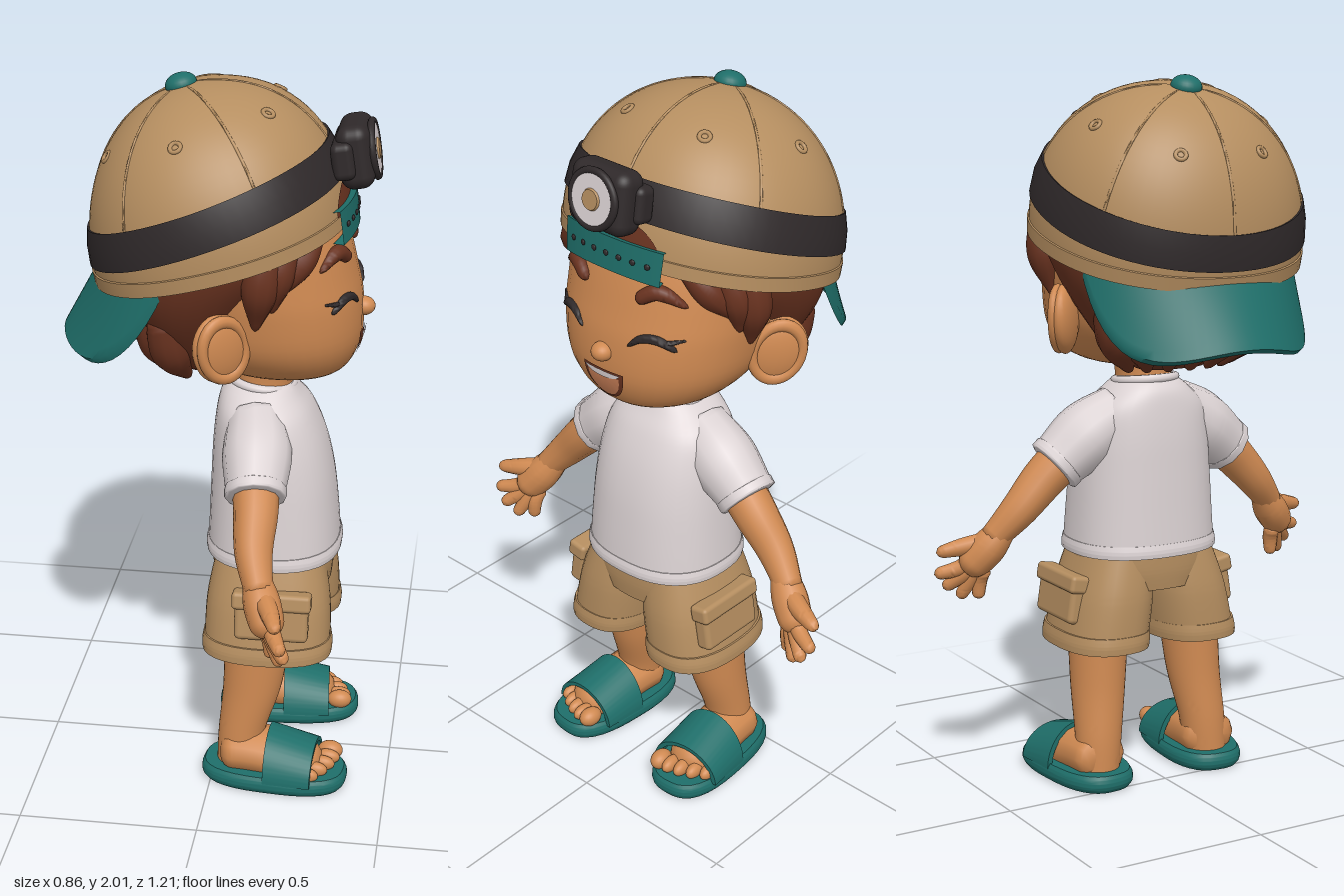
import * as THREE from 'three';
import { toCreasedNormals } from 'three/addons/utils/BufferGeometryUtils.js';
import { RoundedBoxGeometry } from 'three/addons/geometries/RoundedBoxGeometry.js';

const V = (x, y, z) => new THREE.Vector3(x, y, z);
const paint = (name, color) => new THREE.MeshStandardMaterial({ name, color });

// Smooth value between rows of numbers, t from 0 to 1
function blend(rows, t) {
  const f = Math.min(Math.max(t, 0), 1) * (rows.length - 1), i = Math.min(Math.floor(f), rows.length - 2), u = f - i;
  const p0 = rows[Math.max(i - 1, 0)], p1 = rows[i], p2 = rows[i + 1], p3 = rows[Math.min(i + 2, rows.length - 1)];
  return p1.map((b, k) => {
    const a = p0[k], c = p2[k], d = p3[k];
    return b + 0.5 * u * (c - a + u * (2 * a - 5 * b + 4 * c - d + u * (3 * (b - c) + d - a)));
  });
}

// Move every vertex by a rule, then rebuild normals
function warp(geo, rule, crease = 0.9) {
  const p = geo.attributes.position, v = V(0, 0, 0);
  for (let i = 0; i < p.count; i++) {
    const w = rule(v.fromBufferAttribute(p, i), i);
    p.setXYZ(i, w.x, w.y, w.z);
  }
  return toCreasedNormals(geo, crease);
}

// Upright body from rows of [y, centreX, centreZ, radiusX, radiusZ]
function loft(rows, p = 2.2) {
  return warp(new THREE.CylinderGeometry(1, 1, 1, 40, 28), (v) => {
    const [y, cx, cz, rx, rz] = blend(rows, v.y + 0.5);
    const r = Math.hypot(v.x, v.z);
    const k = r < 1e-6 ? 0 : (Math.abs(v.x) ** p + Math.abs(v.z) ** p) ** (-1 / p);
    return V(cx + v.x * k * rx, y, cz + v.z * k * rz);
  });
}

// Round limb along a path with changing radius and rounded ends
function sweep(pts, radii, cap = 0.1) {
  const n = 24, sides = 12, curve = new THREE.CatmullRomCurve3(pts.map((q) => V(...q)));
  const rows = radii.map((r) => [r]);
  return warp(new THREE.TubeGeometry(curve, n, 1, sides), (v, i) => {
    const t = Math.floor(i / (sides + 1)) / n, c = curve.getPointAt(t);
    const e = Math.min(t, 1 - t) / cap;
    const round = e < 1 ? Math.sqrt(Math.max(0, 1 - (1 - e) ** 2)) : 1;
    return c.clone().add(v.clone().sub(c).multiplyScalar(Math.max(blend(rows, t)[0] * round, 0.0005)));
  }, 1.4);
}

// Crown surface of the cap in a given direction
const crown = V(0, 1.59, -0.003);
function dome(d, s = 1) {
  const p = 2.15;
  const k = (Math.abs(d.x / 0.375) ** p + Math.abs(d.y / 0.4) ** p + Math.abs(d.z / 0.35) ** p) ** (-1 / p);
  return V(d.x, d.y, d.z).multiplyScalar(k * s).add(crown);
}
const X = V(1, 0, 0);
const polar = (theta, phi, tilt = -0.27) =>
  V(Math.sin(theta) * Math.sin(phi), Math.cos(theta), Math.sin(theta) * Math.cos(phi)).applyAxisAngle(X, tilt);
// Ring on the crown, profile rows of [theta, scale] from bottom to top
function domeRing(profile, tilt, start = 0, length = Math.PI * 2) {
  const pts = profile.map(([t, s]) => new THREE.Vector2(Math.max(Math.sin(t), 1e-4) * s, Math.cos(t) * s));
  return warp(new THREE.LatheGeometry(pts, 64, start, length), (v) => dome(v.clone().normalize().applyAxisAngle(X, tilt), v.length()));
}

const headRows = [
  [1.2, 0, 0.19, 0.08, 0.1], [1.214, 0, 0.175, 0.145, 0.155], [1.25, 0, 0.16, 0.21, 0.203],
  [1.32, 0, 0.135, 0.262, 0.25], [1.42, 0, 0.11, 0.285, 0.272], [1.5, 0, 0.08, 0.295, 0.285],
  [1.6, 0, 0.04, 0.3, 0.3], [1.72, 0, 0.02, 0.28, 0.28],
];
// Depth of the face at a point seen from the front
function faceZ(x, y) {
  let a = 0, b = 1;
  for (let i = 0; i < 24; i++) { const m = (a + b) / 2; if (blend(headRows, m)[0] < y) a = m; else b = m; }
  const [, , cz, rx, rz] = blend(headRows, a);
  return cz + rz * Math.max(0, 1 - Math.abs(x / rx) ** 2.2) ** (1 / 2.2);
}
const onFace = (x, y, lift = 0.002) => [x, y, faceZ(x, y) + lift];
const halfDisc = (start) => new THREE.RingGeometry(0.001, 1, 24, 4, start, Math.PI);

export function createModel() {
  const skin = paint('skin', 0xd08a52), hair = paint('hair', 0x6a3320), khaki = paint('khaki', 0xb58e60);
  const teal = paint('teal', 0x1f6f6a), white = paint('white', 0xdcd3d4), black = paint('black', 0x2f292a);
  const tongue = paint('tongue', 0xcb8058);
  teal.side = THREE.DoubleSide;

  const root = new THREE.Group(), body = new THREE.Group();
  root.name = 'child';
  body.name = 'figure';
  body.rotation.y = Math.PI / 2;
  root.add(body);
  const add = (name, geo, mat, pos = [0, 0, 0], rot = [0, 0, 0], scale = [1, 1, 1], parent = body) => {
    const m = new THREE.Mesh(geo, mat);
    m.name = name;
    m.position.set(...pos); m.rotation.set(...rot); m.scale.set(...scale);
    parent.add(m);
    return m;
  };
  const ball = new THREE.SphereGeometry(1, 24, 16);

  // Head and face
  add('head', loft(headRows, 2.2), skin);
  add('neck', loft([[1.08, 0, 0.11, 0.09, 0.085], [1.16, 0, 0.12, 0.078, 0.078], [1.26, 0, 0.13, 0.085, 0.085]]), skin);
  add('nose', ball, skin, [0, 1.385, 0.385], [0, 0, 0], [0.03, 0.026, 0.032]);
  const faceDisc = (w, h, y0, lift) => warp(halfDisc(Math.PI), (v) => V(...onFace(v.x * w, y0 + v.y * h, lift)));
  add('mouth', faceDisc(0.07, 0.092, 1.335, 0.003), hair);
  add('tongue', faceDisc(0.056, 0.07, 1.32, 0.005), tongue);
  add('teeth', faceDisc(0.06, 0.018, 1.332, 0.007), white);

  // Hair under the cap
  add('hairBack', loft([
    [1.21, 0, -0.03, 0.1, 0.05], [1.25, 0, -0.04, 0.18, 0.09], [1.35, 0, -0.06, 0.265, 0.15],
    [1.45, 0, -0.05, 0.322, 0.215], [1.55, 0, -0.02, 0.35, 0.275], [1.65, 0, 0, 0.352, 0.3],
  ], 2.2), hair);
  for (let i = -3; i <= 3; i++) {
    const a = i * 0.36, sx = Math.sin(a), cz = -Math.cos(a);
    add('napeLock', sweep([[sx * 0.27, 1.42, -0.04 + cz * 0.17], [sx * 0.24, 1.31, -0.04 + cz * 0.14], [sx * 0.17, 1.21, -0.02 + cz * 0.1]], [0.05, 0.055, 0.012]), hair);
  }

  for (const s of [1, -1]) {
    const side = s > 0 ? 'left' : 'right';
    const mir = (pts) => pts.map(([x, y, z]) => [x * s, y, z]);
    const part = (name, pts, radii, mat, cap) => add(side + name, sweep(mir(pts), radii, cap), mat);

    // Side locks, brows and closed eyes
    part('TempleLock', [[0.28, 1.63, 0.15], [0.297, 1.53, 0.14], [0.278, 1.4, 0.125]], [0.05, 0.05, 0.01], hair);
    part('MiddleLock', [[0.25, 1.64, 0.2], [0.28, 1.55, 0.18], [0.275, 1.45, 0.165]], [0.04, 0.045, 0.012], hair);
    part('FringeLock', [[0.17, 1.66, 0.28], [0.23, 1.59, 0.24], [0.28, 1.5, 0.17]], [0.02, 0.042, 0.02], hair);
    part('Brow', [onFace(0.085, 1.548), onFace(0.14, 1.578), onFace(0.21, 1.545)], [0.018, 0.021, 0.008], hair, 0.15);
    part('Eye', [onFace(0.08, 1.425), onFace(0.115, 1.452), onFace(0.155, 1.455), onFace(0.2, 1.428)], [0.005, 0.011, 0.012, 0.007], black);
    part('Lash', [onFace(0.175, 1.448), onFace(0.215, 1.458)], [0.008, 0.003], black);

    // Ear, cupped outward and forward
    const ear = new THREE.Group();
    ear.name = side + 'Ear';
    ear.position.set(s * 0.298, 1.355, 0.04);
    ear.rotation.set(0, s * 0.85, s * -0.3);
    body.add(ear);
    add(side + 'EarBowl', ball, skin, [0, 0, -0.005], [0, 0, 0], [0.083, 0.098, 0.035], ear);
    add(side + 'EarRim', new THREE.TorusGeometry(0.068, 0.015, 10, 32), skin, [0, 0, 0.012], [0, 0, 0], [0.95, 1.18, 1], ear);

    // Sleeve, arm and hand
    part('Sleeve', [[0.08, 1.075, 0.105], [0.17, 1.02, 0.12], [0.285, 0.93, 0.13]], [0.08, 0.095, 0.08], white, 0.03);
    part('SleeveHem', [[0.262, 0.949, 0.128], [0.288, 0.927, 0.131]], [0.085, 0.084], white, 0.15);
    part('Arm', [[0.2, 1.0, 0.12], [0.31, 0.9, 0.135], [0.39, 0.815, 0.14], [0.47, 0.725, 0.168]], [0.062, 0.062, 0.052, 0.038], skin, 0.03);
    part('Palm', [[0.41, 0.79, 0.145], [0.475, 0.705, 0.175], [0.53, 0.64, 0.205]], [0.03, 0.05, 0.044], skin, 0.2);
    const tips = [[0.605, 0.635, 0.24], [0.575, 0.59, 0.248], [0.535, 0.56, 0.232], [0.49, 0.56, 0.2]];
    tips.forEach((t, i) => part('Finger', [[0.5 - i * 0.006, 0.69 - i * 0.012, 0.19 - i * 0.005], [0.535 - i * 0.016, 0.655 - i * 0.012, 0.21 - i * 0.005], t], [0.024, 0.022, 0.017], skin, 0.15));
    part('Thumb', [[0.46, 0.73, 0.17], [0.53, 0.715, 0.2], [0.605, 0.7, 0.225]], [0.028, 0.026, 0.017], skin, 0.15);

    // Shorts leg with hem and cargo pocket
    add(side + 'ShortsLeg', loft([[0.405, s * 0.145, 0.15, 0.125, 0.178], [0.55, s * 0.12, 0.15, 0.12, 0.173], [0.677, s * 0.096, 0.15, 0.1, 0.15]], 2.5), khaki);
    add(side + 'ShortsHem', loft([[0.402, s * 0.145, 0.15, 0.129, 0.183], [0.425, s * 0.143, 0.15, 0.13, 0.184], [0.45, s * 0.14, 0.15, 0.127, 0.18]], 2.5), khaki);
    add(side + 'Pocket', new RoundedBoxGeometry(0.05, 0.125, 0.205, 3, 0.015), khaki, [s * 0.24, 0.54, 0.172], [0, 0, s * 0.15]);
    add(side + 'PocketFlap', new RoundedBoxGeometry(0.06, 0.05, 0.22, 3, 0.012), khaki, [s * 0.236, 0.592, 0.172], [0, 0, s * 0.18]);

    // Leg, foot and sandal
    add(side + 'Leg', loft([[0.05, s * 0.18, 0.08, 0.063, 0.067], [0.14, s * 0.174, 0.083, 0.067, 0.067], [0.28, s * 0.16, 0.11, 0.077, 0.083], [0.45, s * 0.15, 0.125, 0.085, 0.095]], 2), skin);
    const foot = new THREE.Group();
    foot.name = side + 'Foot';
    foot.position.set(s * 0.192, 0, 0.18);
    foot.rotation.y = s * 0.08;
    body.add(foot);
    const put = (name, geo, mat, pos, scale) => add(side + name, geo, mat, pos, [0, 0, 0], scale, foot);
    put('FootTop', sweep([[0, 0.085, -0.16], [0, 0.085, -0.06], [0, 0.07, 0.05], [0, 0.055, 0.14]], [0.068, 0.068, 0.066, 0.05], 0.15), skin, [0, 0, 0], [1.2, 1, 1]);
    for (let i = 0; i < 5; i++)
      put('Toe', ball, skin, [s * (-0.062 + i * 0.034), 0.068 - i * 0.002, 0.152 - i * i * 0.003], [i ? 0.019 : 0.027, i ? 0.022 : 0.027, 0.036]);
    put('Sole', loft([[0, 0, 0, 0.1, 0.198], [0.015, 0, 0, 0.11, 0.208], [0.035, 0, 0, 0.11, 0.208], [0.05, 0, 0, 0.102, 0.2]], 2.7), teal);
    const arch = new THREE.Shape();
    arch.absellipse(0, 0, 0.11, 0.12, 0, Math.PI);
    arch.absellipse(0, 0, 0.095, 0.105, Math.PI, 0, true);
    const strap = new THREE.ExtrudeGeometry(arch, { depth: 0.135, bevelEnabled: false, curveSegments: 24 });
    put('SandalStrap', warp(strap, (v) => V(v.x, v.y * (1.05 - 2.3 * v.z), v.z)), teal, [0, 0.035, -0.015]);
  }

  // Shirt and waist
  add('shirt', loft([
    [0.67, 0, 0.152, 0.215, 0.187], [0.78, 0, 0.15, 0.208, 0.18], [0.9, 0, 0.145, 0.2, 0.17], [1.0, 0, 0.135, 0.19, 0.155],
    [1.08, 0, 0.122, 0.172, 0.133], [1.13, 0, 0.11, 0.125, 0.11], [1.16, 0, 0.11, 0.088, 0.09],
  ], 2.4), white);
  add('shirtHem', loft([[0.668, 0, 0.152, 0.218, 0.19], [0.685, 0, 0.152, 0.219, 0.191], [0.705, 0, 0.152, 0.215, 0.186]], 2.4), white);
  add('collar', new THREE.TorusGeometry(0.085, 0.013, 10, 40), white, [0, 1.157, 0.112], [Math.PI / 2 + 0.12, 0, 0]);
  add('shortsSeat', loft([[0.57, 0, 0.15, 0.17, 0.165], [0.62, 0, 0.15, 0.2, 0.17], [0.677, 0, 0.15, 0.203, 0.17]], 2.4), khaki);

  // Cap crown with hem, seams, eyelets and button
  const rim = Math.PI / 2 + 0.11, crownProfile = [[rim, 0.93], [rim, 1]];
  for (let i = 1; i <= 24; i++) crownProfile.push([rim * (1 - i / 24), 1]);
  add('capCrown', domeRing(crownProfile, -0.27), khaki);
  add('capHem', domeRing([[rim + 0.01, 0.95], [rim + 0.01, 1.01], [rim - 0.09, 1.01], [rim - 0.1, 0.99]], -0.27), khaki);
  for (let i = 0; i < 6; i++) {
    const seam = [];
    for (let k = 0; k <= 8; k++) seam.push(dome(polar(0.08 + k * 0.16, i * Math.PI / 3), 0.998).toArray());
    add('capSeam', sweep(seam, [0.004, 0.004]), khaki);
    const d = polar(0.72, (i + 0.5) * Math.PI / 3), ring = add('capEyelet', new THREE.TorusGeometry(0.014, 0.006, 8, 16), khaki);
    ring.position.copy(dome(d));
    ring.quaternion.setFromUnitVectors(V(0, 0, 1), d);
  }
  add('capButton', ball, teal, dome(polar(0, 0)).toArray(), [-0.27, 0, 0], [0.043, 0.03, 0.043]);

  // Opening and strap at the forehead
  add('capOpening', warp(halfDisc(0), (v) => dome(V(v.x * 0.15, 0.08 + v.y * 0.09, 0.335), 1.008)), hair);
  const lo = Math.PI / 2 + 0.2, hi = Math.PI / 2 - 0.04;
  add('capStrap', domeRing([[lo, 0.97], [lo, 1.06], [hi, 1.06], [hi, 0.97]], -0.27, -0.45, 0.9), teal);
  for (let i = -3; i <= 3; i++)
    add('strapHole', ball, black, dome(polar((lo + hi) / 2, i * 0.115), 1.06).toArray(), [0, i * 0.115, 0], [0.008, 0.008, 0.004]);

  // Curved brim at the back
  add('capBrim', warp(new THREE.BoxGeometry(1, 1, 1, 36, 1, 8), (v) => {
    const a = v.x * 2.5, t = 0.5 - v.z, sn = Math.sin(a), cs = Math.cos(a);
    const w = t * Math.max(0, Math.cos(v.x * Math.PI)) ** 0.9, z = -0.005 - 0.33 * cs;
    return V(0.34 * sn + w * 0.08 * sn, 1.56 + 0.28 * z - w * (0.165 + 0.34 * sn * sn) + v.y * 0.012, z - w * 0.09 * cs - v.y * 0.016);
  }), teal);

  // Head lamp and its band
  const mid = Math.PI / 2 - 0.25, h = 0.135;
  add('lampBand', domeRing([[mid + h, 0.98], [mid + h, 1.016], [mid, 1.022], [mid - h, 1.016], [mid - h, 0.98]], -0.36), black);
  const lamp = new THREE.Group();
  lamp.name = 'headLamp';
  lamp.position.set(0, 1.815, 0.357);
  lamp.rotation.x = -0.16;
  body.add(lamp);
  const lampPart = (name, geo, mat, pos, rot) => add(name, geo, mat, pos, rot, [1, 1, 1], lamp);
  lampPart('lampCase', new RoundedBoxGeometry(0.195, 0.17, 0.09, 4, 0.035), black, [0, 0, 0]);
  lampPart('lampBack', new RoundedBoxGeometry(0.23, 0.1, 0.06, 3, 0.02), black, [0, 0, -0.03]);
  lampPart('lampRim', new THREE.TorusGeometry(0.073, 0.01, 10, 40), black, [0, 0, 0.047]);
  lampPart('lampLens', new THREE.CylinderGeometry(0.067, 0.069, 0.016, 40), white, [0, 0, 0.046], [Math.PI / 2, 0, 0]);
  lampPart('lampBulb', new THREE.CylinderGeometry(0.026, 0.03, 0.008, 24), khaki, [0, 0, 0.056], [Math.PI / 2, 0, 0]);
  return root;
}
